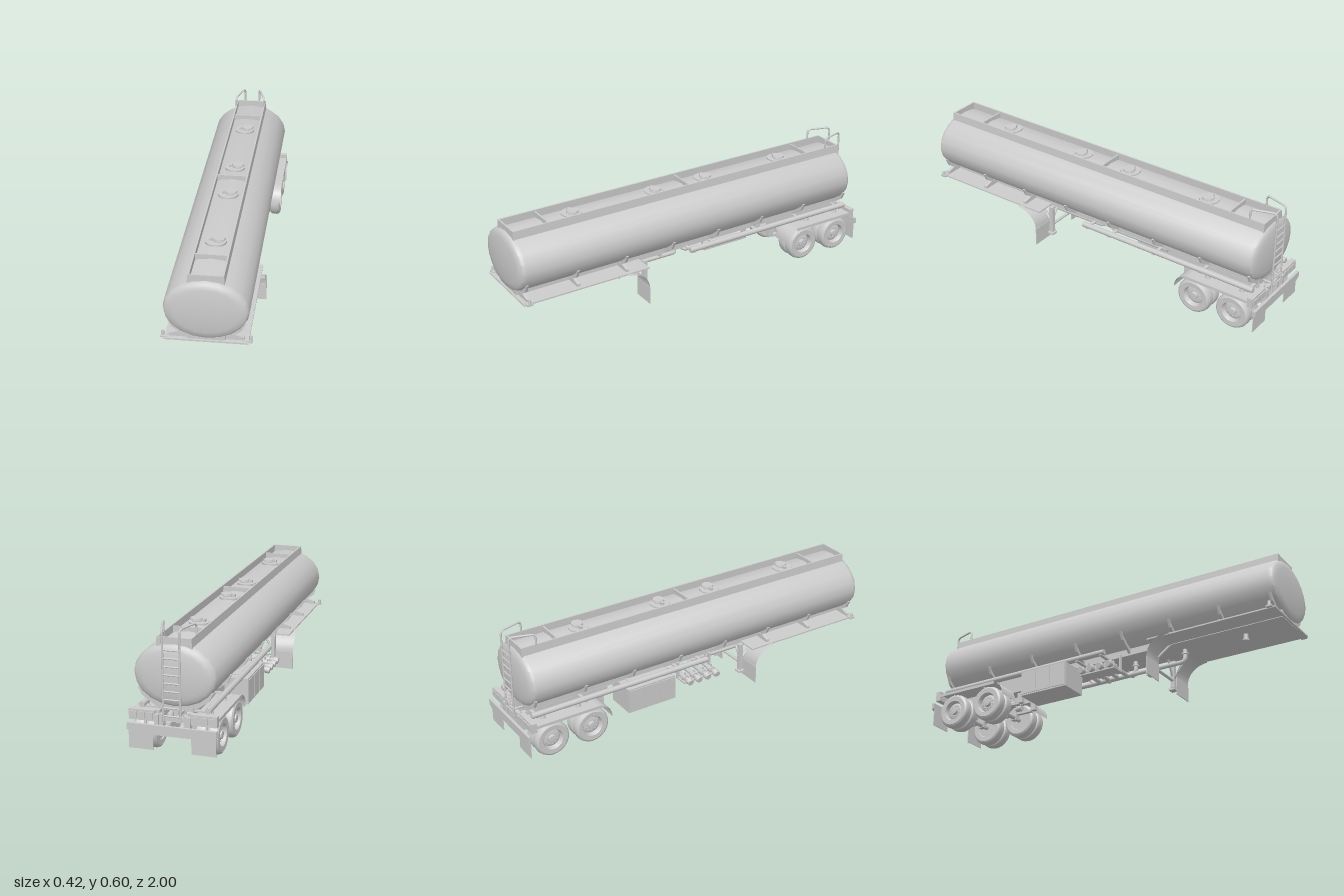
import * as THREE from 'three';
import { toCreasedNormals } from 'three/addons/utils/BufferGeometryUtils.js';

const grey = new THREE.MeshStandardMaterial({ color: 0xcccccc });
const sheetMat = new THREE.MeshStandardMaterial({ color: 0xcccccc, side: THREE.DoubleSide });
const V = (x, y, z) => new THREE.Vector3(x, y, z);

export function createModel() {
  const root = new THREE.Group();
  root.name = 'tankTrailer';

  const add = (name, geo, parent = root, mat = grey) => {
    const m = new THREE.Mesh(geo, mat);
    m.name = name;
    parent.add(m);
    return m;
  };
  // Box given by its limits on each axis
  const box = (name, [x0, x1], [y0, y1], [z0, z1]) => {
    const m = add(name, new THREE.BoxGeometry(Math.abs(x1 - x0), y1 - y0, z1 - z0));
    m.position.set((x0 + x1) / 2, (y0 + y1) / 2, (z0 + z1) / 2);
    return m;
  };
  // Straight round bar between two points
  const bar = (name, a, b, r, r2 = r, seg = 12) => {
    const m = add(name, new THREE.CylinderGeometry(r2, r, a.distanceTo(b), seg));
    m.position.copy(a).lerp(b, 0.5);
    m.quaternion.setFromUnitVectors(V(0, 1, 0), b.clone().sub(a).normalize());
    return m;
  };
  // Pipe with rounded corners
  const pipe = (name, pts, r, bend = 0.03) => {
    const path = new THREE.CurvePath();
    let last = pts[0];
    for (let i = 1; i < pts.length - 1; i++) {
      const p = pts[i];
      const a = p.clone().add(pts[i - 1].clone().sub(p).setLength(bend));
      const b = p.clone().add(pts[i + 1].clone().sub(p).setLength(bend));
      path.add(new THREE.LineCurve3(last, a));
      path.add(new THREE.QuadraticBezierCurve3(a, p, b));
      last = b;
    }
    path.add(new THREE.LineCurve3(last, pts[pts.length - 1]));
    return add(name, new THREE.TubeGeometry(path, 70, r, 10, false), root, sheetMat);
  };
  // Flat outline in x-y, extruded along z
  const plate = (name, pts, z0, z1) => {
    const s = new THREE.Shape(pts.map(p => new THREE.Vector2(...p)));
    const m = add(name, new THREE.ExtrudeGeometry(s, { depth: z1 - z0, bevelEnabled: false }));
    m.position.z = z0;
    return m;
  };
  // Thin curved sheet: [z, y] profile swept across x
  const sheet = (name, profile, x0, x1) => {
    const g = new THREE.PlaneGeometry(1, 1, 1, profile.length - 1);
    profile.forEach(([z, y], i) => {
      g.attributes.position.setXYZ(i * 2, x0, y, z);
      g.attributes.position.setXYZ(i * 2 + 1, x1, y, z);
    });
    g.computeVertexNormals();
    return add(name, g, root, sheetMat);
  };

  // Elliptical tank with domed ends
  const tankProfile = [[0, -0.968], [0.4, -0.966], [0.75, -0.96], [0.9, -0.953], [0.97, -0.944], [1, -0.93],
    [1, 0.955], [0.975, 0.973], [0.92, 0.982], [0.75, 0.988], [0.4, 0.994], [0, 0.996]];
  const tank = new THREE.LatheGeometry(tankProfile.map(p => new THREE.Vector2(...p)), 20);
  tank.rotateX(Math.PI / 2).scale(0.194, 0.148, 1).translate(0, 0.378, 0);
  add('tank', toCreasedNormals(tank, 0.65));

  // Spill coaming along the top, with cross walls
  for (const s of [-1, 1]) {
    plate('coamingSide', [[s * 0.084, 0.505], [s * 0.081, 0.551], [s * 0.073, 0.551], [s * 0.075, 0.505]], -0.945, 0.965);
  }
  for (const z of [-0.945, -0.755, -0.015, 0.77, 0.957]) {
    box('coamingWall', [-0.08, 0.08], [0.505, Math.abs(z) > 0.9 ? 0.551 : 0.545], [z, z + 0.008]);
  }

  // Manholes
  for (const z of [-0.6, -0.14, 0.155, 0.62]) {
    bar('manholeBase', V(0, 0.515, z), V(0, 0.531, z), 0.05, 0.05, 20);
    bar('manholeNeck', V(0.012, 0.53, z), V(0.012, 0.54, z), 0.024, 0.024, 16);
    bar('manholeLid', V(0.015, 0.538, z), V(0.015, 0.547, z), 0.032, 0.03, 8);
    box('manholeHinge', [-0.03, 0.0], [0.531, 0.543], [z - 0.008, z + 0.008]);
  }

  // Rear ladder whose rails loop over onto the coaming
  for (const s of [-1, 1]) {
    pipe('ladderRail', [V(s * 0.077, 0.53, -0.865), V(s * 0.077, 0.602, -0.865),
      V(s * 0.04, 0.602, -0.986), V(s * 0.04, 0.17, -0.986)], 0.005, 0.022);
    bar('ladderStay', V(s * 0.04, 0.22, -0.986), V(s * 0.04, 0.22, -0.93), 0.005);
  }
  for (let i = 0; i < 9; i++) {
    const y = 0.2 + i * 0.038;
    bar('ladderRung', V(-0.04, y, -0.986), V(0.04, y, -0.986), 0.004, 0.004, 8);
  }

  // Backbone under the tank, front coupling plate and pin
  box('backbone', [-0.085, 0.085], [0.212, 0.255], [-0.94, 0.97]);
  box('couplingPlate', [-0.19, 0.19], [0.215, 0.222], [0.3, 0.98]);
  bar('kingpin', V(0, 0.215, 0.74), V(0, 0.18, 0.74), 0.012);
  bar('kingpinFoot', V(0, 0.187, 0.74), V(0, 0.178, 0.74), 0.017);

  const frontFender = [];
  for (let i = 0; i <= 8; i++) {
    const a = i / 8 * Math.PI / 2;
    frontFender.push([0.31 + 0.115 * (1 - Math.sin(a)), 0.12 + 0.1 * (1 - Math.cos(a))].map((v, k) =>
      k === 0 ? 0.425 - 0.115 * Math.sin(a) : 0.12 + 0.1 * Math.cos(a)));
  }
  const rearFender = [[-0.545, 0.115], [-0.548, 0.14], [-0.56, 0.165], [-0.585, 0.185], [-0.62, 0.197], [-0.95, 0.197]];

  // Tyre, rim and hub as one turned profile; +y is the outer face
  const wheelProfile = [[0, -0.02], [0.05, -0.02], [0.053, -0.026], [0.077, -0.027], [0.086, -0.021], [0.09, -0.01],
    [0.09, 0.01], [0.086, 0.021], [0.077, 0.027], [0.053, 0.026], [0.05, 0.022], [0.047, 0.002],
    [0.037, 0.008], [0.02, 0.008], [0.018, 0.022], [0, 0.024]];
  const wheelGeo = toCreasedNormals(
    new THREE.LatheGeometry(wheelProfile.map(p => new THREE.Vector2(...p)), 28), 0.6);
  const boltGeo = new THREE.CylinderGeometry(0.003, 0.003, 0.008, 6);

  for (const s of [-1, 1]) {
    // Tank saddles, and gussets standing on the coupling plate
    for (let i = 0; i < 8; i++) {
      const z = 0.95 - i * 0.2686;
      plate('saddle', [[s * 0.07, 0.222], [s * 0.09, 0.222], [s * 0.157, 0.268], [s * 0.177, 0.308],
        [s * 0.16, 0.308], [s * 0.12, 0.27], [s * 0.07, 0.25]], z - 0.006, z + 0.006);
      if (i < 3) plate('plateGusset', [[s * 0.085, 0.221], [s * 0.17, 0.221], [s * 0.17, 0.235],
        [s * 0.125, 0.248], [s * 0.085, 0.248]], z - 0.008, z + 0.008);
    }
    // Front marker lamps
    box('markerBase', [s * 0.175, s * 0.207], [0.217, 0.225], [0.94, 0.97]);
    bar('markerLamp', V(s * 0.198, 0.222, 0.955), V(s * 0.198, 0.247, 0.955), 0.009, 0.007);

    // Fenders with mudflaps
    sheet('frontFender', frontFender, s * 0.09, s * 0.21);
    box('frontMudflap', [s * 0.09, s * 0.21], [0.03, 0.122], [0.308, 0.312]);
    sheet('rearFender', rearFender, s * 0.09, s * 0.206);
    box('rearFenderLip', [s * 0.203, s * 0.207], [0.183, 0.198], [-0.95, -0.6]);
    for (const z of [-0.7, -0.89]) bar('airValve', V(s * 0.15, 0.196, z), V(s * 0.15, 0.218, z), 0.014, 0.009);

    // Landing gear
    box('landingLeg', [s * 0.1, s * 0.12], [0.075, 0.22], [0.27, 0.292]);
    box('landingFoot', [s * 0.092, s * 0.128], [0.06, 0.07], [0.264, 0.298]);
    bar('landingShaft', V(s * 0.11, 0.068, 0.281), V(s * 0.11, 0.11, 0.281), 0.007);
    bar('landingBrace', V(s * 0.11, 0.12, 0.281), V(s * 0.085, 0.215, 0.38), 0.006);
    bar('landingBrace', V(s * 0.11, 0.13, 0.281), V(s * 0.06, 0.215, 0.281), 0.006);

    // Hose carrier tubes along each side
    bar('hoseTube', V(s * 0.155, 0.228, 0.04), V(s * 0.155, 0.228, -0.95), 0.014, 0.014, 14);
    for (const z of [0.02, -0.12, -0.39, -0.66, -0.92]) {
      box('tubeBracket', [s * 0.08, s * 0.162], [0.211, 0.218], [z - 0.008, z + 0.008]);
    }

    // Rear frame and suspension
    box('rearRail', [s * 0.066, s * 0.086], [0.165, 0.215], [-0.965, -0.5]);
    for (const z of [-0.53, -0.757, -0.955]) {
      box('springHanger', [s * 0.048, s * 0.07], [0.11, 0.2], [z - 0.015, z + 0.015]);
    }
    for (const z of [-0.65, -0.865]) {
      box('leafSpring', [s * 0.05, s * 0.068], [0.105, 0.118], [z - 0.09, z + 0.11]);
      box('axleSeat', [s * 0.046, s * 0.072], [0.078, 0.125], [z - 0.016, z + 0.016]);
      bar('brakeChamber', V(s * 0.03, 0.125, z + 0.03), V(s * 0.03, 0.125, z + 0.065), 0.015);
      // Dual wheels
      for (const x of [0.117, 0.173]) {
        const wheel = new THREE.Group();
        wheel.name = 'wheel';
        add('tyreAndRim', wheelGeo, wheel);
        for (let k = 0; k < 10; k++) {
          const a = k * Math.PI / 5;
          add('wheelBolt', boltGeo, wheel).position.set(0.029 * Math.cos(a), 0.011, 0.029 * Math.sin(a));
        }
        wheel.rotation.z = -s * Math.PI / 2;
        wheel.position.set(s * x, 0.092, z);
        root.add(wheel);
      }
    }

    // Tail lamps and rear mudflaps
    box('lampHousing', [s * 0.085, s * 0.207], [0.165, 0.215], [-0.978, -0.95]);
    for (let k = 0; k < 3; k++) {
      const x = s * (0.092 + k * 0.038);
      box('lampLens', [x, x + s * 0.032], [0.175, 0.205], [-0.983, -0.976]);
    }
    box('rearMudflap', [s * 0.09, s * 0.205], [0.033, 0.125], [-0.989, -0.985]);
    box('bumperArm', [s * 0.066, s * 0.084], [0.125, 0.2], [-0.985, -0.955]);
  }
  bar('landingCrossbar', V(-0.11, 0.115, 0.281), V(0.11, 0.115, 0.281), 0.008);
  for (const z of [-0.65, -0.865]) bar('axle', V(-0.17, 0.092, z), V(0.17, 0.092, z), 0.012);
  for (const z of [-0.55, -0.757, -0.96]) box('crossMember', [-0.08, 0.08], [0.17, 0.19], [z - 0.01, z + 0.01]);

  // Rear bumper with cut lower corners
  plate('rearBumper', [[-0.21, 0.125], [-0.18, 0.11], [0.18, 0.11], [0.21, 0.125], [0.21, 0.155], [-0.21, 0.155]], -1, -0.986);

  // Discharge pipes, one from each compartment, to outlets on the right-hand side
  [0.41, 0.13, -0.13, -0.38].forEach((z, i) => {
    const out = 0.08 - i * 0.053;
    pipe('dischargePipe', [V(0, 0.225, z), V(0, 0.148, z), V(0, 0.148, out), V(-0.17, 0.148, out)], 0.011, 0.024);
    bar('pipeFlange', V(0, 0.185, z), V(0, 0.193, z), 0.018);
    bar('valveBody', V(-0.12, 0.148, out), V(-0.15, 0.148, out), 0.017);
    bar('valveStem', V(-0.135, 0.148, out), V(-0.135, 0.178, out), 0.005);
    bar('outletCap', V(-0.17, 0.148, out), V(-0.192, 0.143, out), 0.019, 0.016);
  });
  box('manifoldTray', [-0.16, -0.09], [0.128, 0.135], [-0.1, 0.1]);
  for (const z of [-0.1, 0.09]) box('trayHanger', [-0.1, -0.085], [0.13, 0.22], [z, z + 0.01]);

  // Equipment cabinet with door panels
  box('cabinet', [-0.185, -0.03], [0.085, 0.215], [-0.44, -0.17]);
  for (let k = 0; k < 3; k++) {
    box('cabinetDoor', [-0.189, -0.184], [0.092, 0.208], [-0.434 + k * 0.088, -0.352 + k * 0.088]);
  }
  return root;
}
